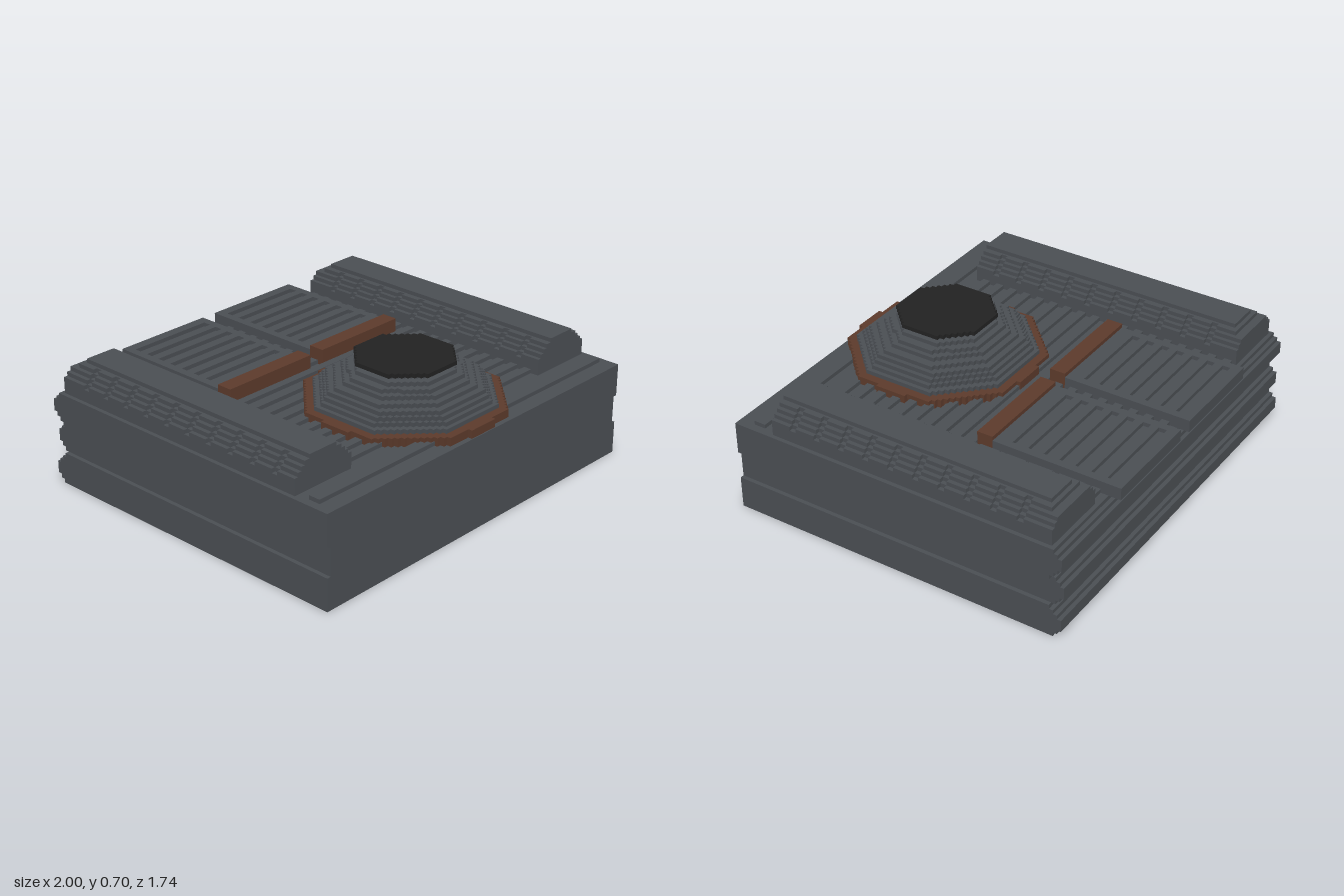
import * as THREE from 'three';

const U = 0.02; // step size of the blocky surfaces
const material = (name, color) => {
  const m = new THREE.MeshStandardMaterial({ color });
  m.name = name;
  return m;
};

export function createModel() {
  const model = new THREE.Group();
  model.name = 'armouredDeckBlock';
  const steel = material('dark steel', 0x4a4e53);
  const rust = material('rust brown', 0x5c3a2b);
  const black = material('black', 0x222222);

  const group = (name) => {
    const g = new THREE.Group();
    g.name = name;
    model.add(g);
    return g;
  };
  // Box given by its limits on each axis
  const box = (parent, name, mat, x0, x1, y0, y1, z0, z1) => {
    const m = new THREE.Mesh(new THREE.BoxGeometry(x1 - x0, y1 - y0, z1 - z0), mat);
    m.position.set((x0 + x1) / 2, (y0 + y1) / 2, (z0 + z1) / 2);
    m.name = name;
    parent.add(m);
  };

  // Hull: three stacked lobes at the back, recessed middle band at the sides
  const hull = group('hull');
  const lobe = [[0, 0.02, 0.81], [0.02, 0.04, 0.83], [0.04, 0.10, 0.85],
    [0.10, 0.12, 0.83], [0.12, 0.14, 0.81], [0.14, 0.16, 0.79]];
  for (let i = 0; i < 3; i++) {
    for (const [a, b, back] of lobe) {
      const y0 = i * 0.16 + a;
      const y1 = Math.min(i * 0.16 + b, 0.46);
      if (y1 - y0 < 0.001) continue;
      const w = y0 > 0.155 && y0 < 0.295 ? 0.98 : 1;
      box(hull, 'hullLayer', steel, -w, w, y0, y1, -back, 0.87);
    }
  }

  // Deck slats and the wide slat at the front
  const deck = group('deckSlats');
  for (let z = -0.77; z < 0.66; z += 0.08) {
    box(deck, 'deckSlat', steel, -0.64, 0.64, 0.46, 0.48, z, z + 0.04);
  }
  box(deck, 'frontSlat', steel, -0.96, 0.96, 0.46, 0.48, 0.73, 0.79);

  // Ribbed side ridges: stepped section, with shallow gaps between ribs
  const ridgeSteps = [[0.52, 0.54, 0.64, 0.98, 0.79], [0.54, 0.56, 0.66, 0.96, 0.79],
    [0.56, 0.58, 0.68, 0.94, 0.79], [0.58, 0.60, 0.70, 0.92, 0.75]];
  for (const s of [1, -1]) {
    const ridge = group(s > 0 ? 'leftRidge' : 'rightRidge');
    const slab = (name, y0, y1, a, b, z0, z1) =>
      box(ridge, name, steel, Math.min(s * a, s * b), Math.max(s * a, s * b), y0, y1, z0, z1);
    slab('ridgeBase', 0.46, 0.52, 0.64, 0.98, -0.79, 0.67);
    slab('ridgeTop', 0.60, 0.62, 0.73, 0.89, -0.73, 0.67);
    for (const [y0, y1, a, b, back] of ridgeSteps) {
      slab('ridgeCore', y0, y1, a + U, b - U, -back, 0.67);
      for (let i = 0; i < 11; i++) {
        const z = 0.67 - i * 0.132;
        slab('ridgeRib', y0, y1, a, b, i === 10 ? -back : z - 0.1, z);
      }
    }
  }

  // Rear grilles with sunk slots, and the rust bars in front of them
  for (const s of [1, -1]) {
    const grille = group(s > 0 ? 'leftGrille' : 'rightGrille');
    const c = s * 0.3;
    box(grille, 'grilleBed', steel, c - 0.26, c + 0.26, 0.46, 0.50, -0.87, -0.22);
    for (const side of [1, -1]) {
      const e = c + side * 0.241;
      box(grille, 'grilleRail', steel, e - 0.019, e + 0.019, 0.50, 0.52, -0.87, -0.22);
    }
    for (let i = 0; i < 8; i++) {
      const z0 = i === 0 ? -0.87 : -0.78 + (i - 1) * 0.08;
      const z1 = i === 7 ? -0.22 : -0.82 + i * 0.08;
      box(grille, 'grilleSlat', steel, c - 0.222, c + 0.222, 0.50, 0.52, z0, z1);
    }
    box(grille, 'rustBar', rust, c - 0.26, c + 0.26, 0.46, 0.54, -0.22, -0.14);
  }

  // Octagon with stair-stepped diagonals, optionally bulged on its four flats
  const steppedOctagon = (r, bulge) => {
    const quarter = [];
    const width = (v) => {
      const w = Math.min(r, r * Math.SQRT2 - v);
      return bulge && v < 0.08 ? r + U : w;
    };
    const top = bulge ? r + U : r;
    const rows = Math.round(top / U);
    for (let j = 0; j < rows; j++) {
      const v = (j + 0.5) * top / rows;
      let w = Math.round(width(v) / U) * U;
      if (bulge && j === rows - 1) w = 0.08;
      quarter.push([w, j * top / rows], [w, (j + 1) * top / rows]);
    }
    const back = quarter.slice().reverse();
    const pts = [
      ...quarter, ...back.map(([x, y]) => [-x, y]),
      ...quarter.map(([x, y]) => [-x, -y]), ...back.map(([x, y]) => [x, -y]),
    ].map(([x, y]) => new THREE.Vector2(x, y));
    return new THREE.Shape(pts.filter((p, i) => i === 0 || p.distanceTo(pts[i - 1]) > 1e-5));
  };
  const turret = group('turret');
  const layer = (name, mat, r, y0, y1, bulge = false) => {
    const g = new THREE.ExtrudeGeometry(steppedOctagon(r, bulge), { depth: y1 - y0, bevelEnabled: false });
    g.rotateX(-Math.PI / 2);
    const m = new THREE.Mesh(g, mat);
    m.position.set(0, y0, 0.405);
    m.name = name;
    turret.add(m);
  };

  // Turret: rust ring, stepped dome and black cap
  layer('turretRing', rust, 0.44, 0.46, 0.50, true);
  [0.40, 0.38, 0.36, 0.34, 0.31, 0.28, 0.25, 0.22, 0.18].forEach((r, i) =>
    layer('domeLayer', steel, r, 0.50 + i * U, 0.52 + i * U));
  layer('turretCap', black, 0.22, 0.68, 0.70);

  return model;
}
